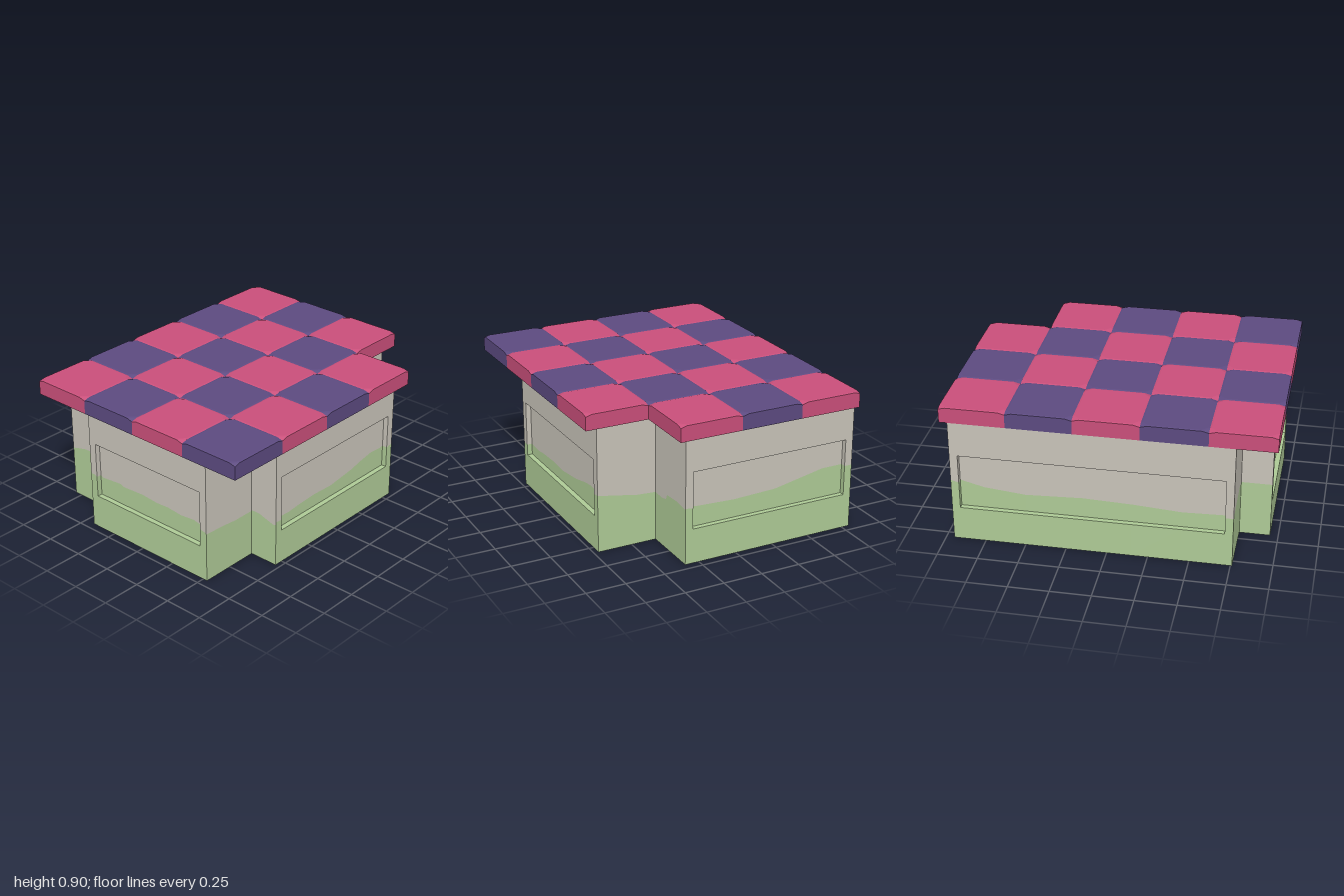
import * as THREE from 'three';
import { ConvexGeometry } from 'three/addons/geometries/ConvexGeometry.js';

const makeMaterial = (name, color) => {
  const m = new THREE.MeshStandardMaterial({ color });
  m.name = name;
  return m;
};

const WALL_TOP = 0.8, WIN_LOW = 0.22, WIN_HIGH = 0.58, INSET = 0.05, DEPTH = 0.033;

// Walls in order around the footprint: start corner [x, z], and the top edge
// of the green paint as [distance along the wall, height]
const WALLS = [
  { name: 'frontWall', at: [-0.43, 0.95], window: true, paint: [[0, 0.362], [0.03, 0.365], [0.07, 0.343], [0.22, 0.357], [0.25, 0.346], [0.41, 0.355], [0.53, 0.345], [0.62, 0.35], [0.73, 0.34], [0.83, 0.35], [0.91, 0.335], [0.96, 0.325]] },
  { name: 'frontRightReturn', at: [0.53, 0.95], paint: [[0, 0.318], [0.15, 0.31], [0.25, 0.3], [0.395, 0.3]] },
  { name: 'frontRightRecess', at: [0.53, 0.555], paint: [[0, 0.305], [0.06, 0.305], [0.13, 0.283], [0.17, 0.272], [0.19, 0.278]] },
  { name: 'rightWall', at: [0.72, 0.555], window: true, paint: [[0, 0.295], [0.15, 0.285], [0.25, 0.295], [0.4, 0.302], [0.55, 0.295], [0.75, 0.32], [0.86, 0.345], [0.95, 0.36], [1.05, 0.355], [1.125, 0.367]] },
  { name: 'backNotchWall', at: [0.72, -0.57], paint: [[0, 0.365], [0.12, 0.345], [0.25, 0.32], [0.38, 0.313]] },
  { name: 'backNotchReturn', at: [0.34, -0.57], paint: [[0, 0.313], [0.08, 0.31], [0.135, 0.32], [0.15, 0.353], [0.28, 0.362], [0.38, 0.35]] },
  { name: 'backWall', at: [0.34, -0.95], window: true, paint: [[0, 0.36], [0.1, 0.345], [0.34, 0.335], [0.62, 0.345], [0.8, 0.38], [0.95, 0.41], [1.14, 0.41]] },
  { name: 'leftWall', at: [-0.8, -0.95], window: true, paint: [[0, 0.41], [0.2, 0.36], [0.45, 0.335], [0.8, 0.35], [1.1, 0.34], [1.4, 0.32], [1.71, 0.33]] },
  { name: 'frontLeftRecess', at: [-0.8, 0.76], paint: [[0, 0.33], [0.1, 0.355], [0.2, 0.365], [0.3, 0.375], [0.37, 0.362]] },
  { name: 'frontLeftReturn', at: [-0.43, 0.76], paint: [[0, 0.362], [0.19, 0.362]] },
];

function quad(out, a, b, c, d) {
  out.push(...a, ...b, ...c, ...a, ...c, ...d);
}

function meshFrom(positions, material, name) {
  const g = new THREE.BufferGeometry();
  g.setAttribute('position', new THREE.Float32BufferAttribute(positions, 3));
  g.computeVertexNormals();
  const mesh = new THREE.Mesh(g, material);
  mesh.name = name;
  return mesh;
}

// One two-tone wall, lying along local x and facing local +z
function makeWall(wall, end, plaster, green) {
  const [x, z] = wall.at;
  const dx = end[0] - x, dz = end[1] - z;
  const length = Math.hypot(dx, dz);
  const upper = [], lower = [];

  const paintAt = (u) => {
    const p = wall.paint;
    for (let i = 1; i < p.length; i++) {
      if (u <= p[i][0]) return THREE.MathUtils.mapLinear(u, p[i - 1][0], p[i][0], p[i - 1][1], p[i][1]);
    }
    return p[p.length - 1][1];
  };

  // Band of wall from y0 to y1, divided where the paint ends
  const band = (u0, u1, y0, y1, depth) => {
    const us = [u0, ...wall.paint.map((p) => p[0]).filter((u) => u > u0 + 1e-4 && u < u1 - 1e-4), u1];
    for (let i = 1; i < us.length; i++) {
      const a = us[i - 1], b = us[i];
      const ha = THREE.MathUtils.clamp(paintAt(a), y0, y1);
      const hb = THREE.MathUtils.clamp(paintAt(b), y0, y1);
      if (ha > y0) quad(lower, [a, y0, depth], [b, y0, depth], [b, hb, depth], [a, ha, depth]);
      if (ha < y1) quad(upper, [a, ha, depth], [b, hb, depth], [b, y1, depth], [a, y1, depth]);
    }
  };

  if (!wall.window) {
    band(0, length, 0, WALL_TOP, 0);
  } else {
    const w0 = INSET, w1 = length - INSET, d = -DEPTH;
    band(0, w0, 0, WALL_TOP, 0);
    band(w1, length, 0, WALL_TOP, 0);
    band(w0, w1, 0, WIN_LOW, 0);
    band(w0, w1, WIN_HIGH, WALL_TOP, 0);
    band(w0, w1, WIN_LOW, WIN_HIGH, d);
    // Sill, lintel and jambs of the recessed panel
    quad(lower, [w0, WIN_LOW, 0], [w1, WIN_LOW, 0], [w1, WIN_LOW, d], [w0, WIN_LOW, d]);
    quad(upper, [w0, WIN_HIGH, d], [w1, WIN_HIGH, d], [w1, WIN_HIGH, 0], [w0, WIN_HIGH, 0]);
    for (const [u, front, back] of [[w0, 0, d], [w1, d, 0]]) {
      const h = paintAt(u);
      for (const [out, y0, y1] of [[lower, WIN_LOW, h], [upper, h, WIN_HIGH]]) {
        quad(out, [u, y0, front], [u, y0, back], [u, y1, back], [u, y1, front]);
      }
    }
  }

  const group = new THREE.Group();
  group.name = wall.name;
  group.add(meshFrom(upper, plaster, 'plaster'), meshFrom(lower, green, 'greenBase'));
  group.position.set(x, 0, z);
  group.rotation.y = Math.atan2(-dz, dx);
  return group;
}

// Square roof tile with softened top edges and clipped corners
function makeTileGeometry() {
  const points = [];
  for (const sx of [-1, 1]) {
    for (const sz of [-1, 1]) {
      const add = (x, y, z) => points.push(new THREE.Vector3(sx * x, y, sz * z));
      add(0.2, 0, 0.2);
      add(0.2, 0.086, 0.2);
      add(0.2, 0.097, 0.16);
      add(0.16, 0.097, 0.2);
      add(0.19, 0.1, 0.155);
      add(0.155, 0.1, 0.19);
    }
  }
  return new ConvexGeometry(points);
}

export function createModel() {
  const plaster = makeMaterial('plaster', 0xc8c3b9);
  const green = makeMaterial('green paint', 0xaeca96);
  const pink = makeMaterial('pink tile', 0xc94f7a);
  const purple = makeMaterial('purple tile', 0x5c4a80);

  const model = new THREE.Group();
  model.name = 'house';

  // Walls
  const walls = new THREE.Group();
  walls.name = 'walls';
  WALLS.forEach((w, i) => walls.add(makeWall(w, WALLS[(i + 1) % WALLS.length].at, plaster, green)));
  model.add(walls);

  // Underside of the floor
  const outline = new THREE.Shape(WALLS.map((w) => new THREE.Vector2(...w.at)));
  const floor = new THREE.Mesh(new THREE.ShapeGeometry(outline).rotateX(Math.PI / 2), plaster);
  floor.name = 'floor';
  model.add(floor);

  // Chequered roof, with the back right corner left open
  const roof = new THREE.Group();
  roof.name = 'roof';
  const tileGeometry = makeTileGeometry();
  for (let row = 0; row < 5; row++) {
    for (let col = 0; col < 4; col++) {
      if (row === 0 && col === 3) continue;
      const tile = new THREE.Mesh(tileGeometry, (row + col) % 2 ? purple : pink);
      tile.name = 'roofTile';
      tile.position.set(-0.6 + col * 0.4, WALL_TOP, -0.8 + row * 0.4);
      roof.add(tile);
    }
  }
  model.add(roof);
  return model;
}
